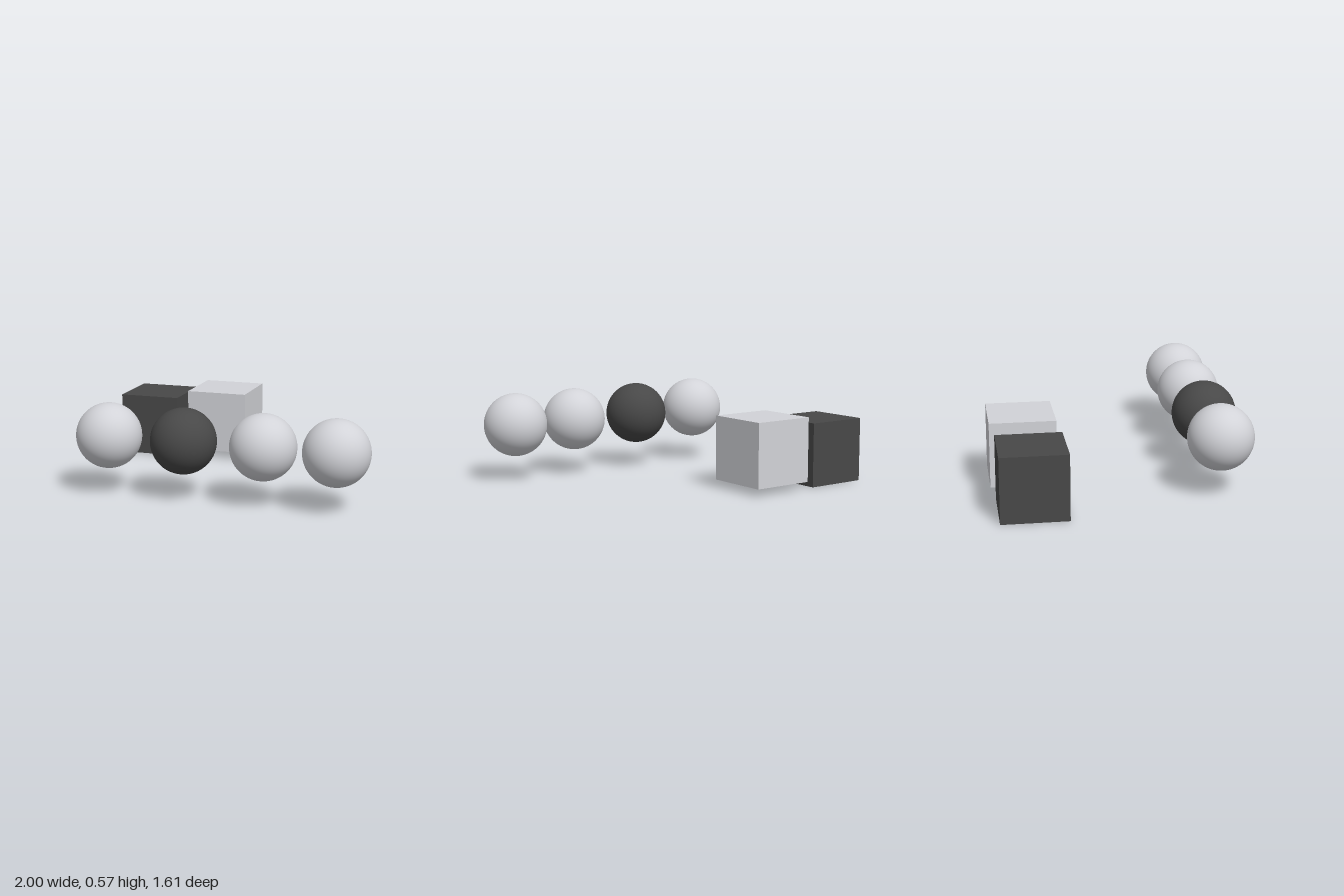
import * as THREE from 'three';

export function createModel() {
  const group = new THREE.Group();
  const lightGrey = new THREE.MeshStandardMaterial({ name: 'lightGrey', color: 0xd2d3d8 });
  const darkGrey = new THREE.MeshStandardMaterial({ name: 'darkGrey', color: 0x484848 });

  const size = 0.414;
  const cube = new THREE.BoxGeometry(size, size, size);
  const ball = new THREE.SphereGeometry(size / 2, 64, 48);

  const add = (name, geometry, material, x, y, z) => {
    const mesh = new THREE.Mesh(geometry, material);
    mesh.name = name;
    mesh.position.set(x, y, z);
    group.add(mesh);
  };

  // Two cubes at the back, the light one floating slightly higher
  add('darkCube', cube, darkGrey, -0.793, size / 2, -0.572);
  add('lightCube', cube, lightGrey, -0.307, 0.256, -0.6);

  // Row of four floating balls at the front
  const row = [
    ['rightBall', -0.677, lightGrey],
    ['darkBall', -0.18, darkGrey],
    ['middleBall', 0.334, lightGrey],
    ['leftBall', 0.791, lightGrey],
  ];
  for (const [name, x, material] of row) add(name, ball, material, x, 0.366, 0.6);

  return group;
}
